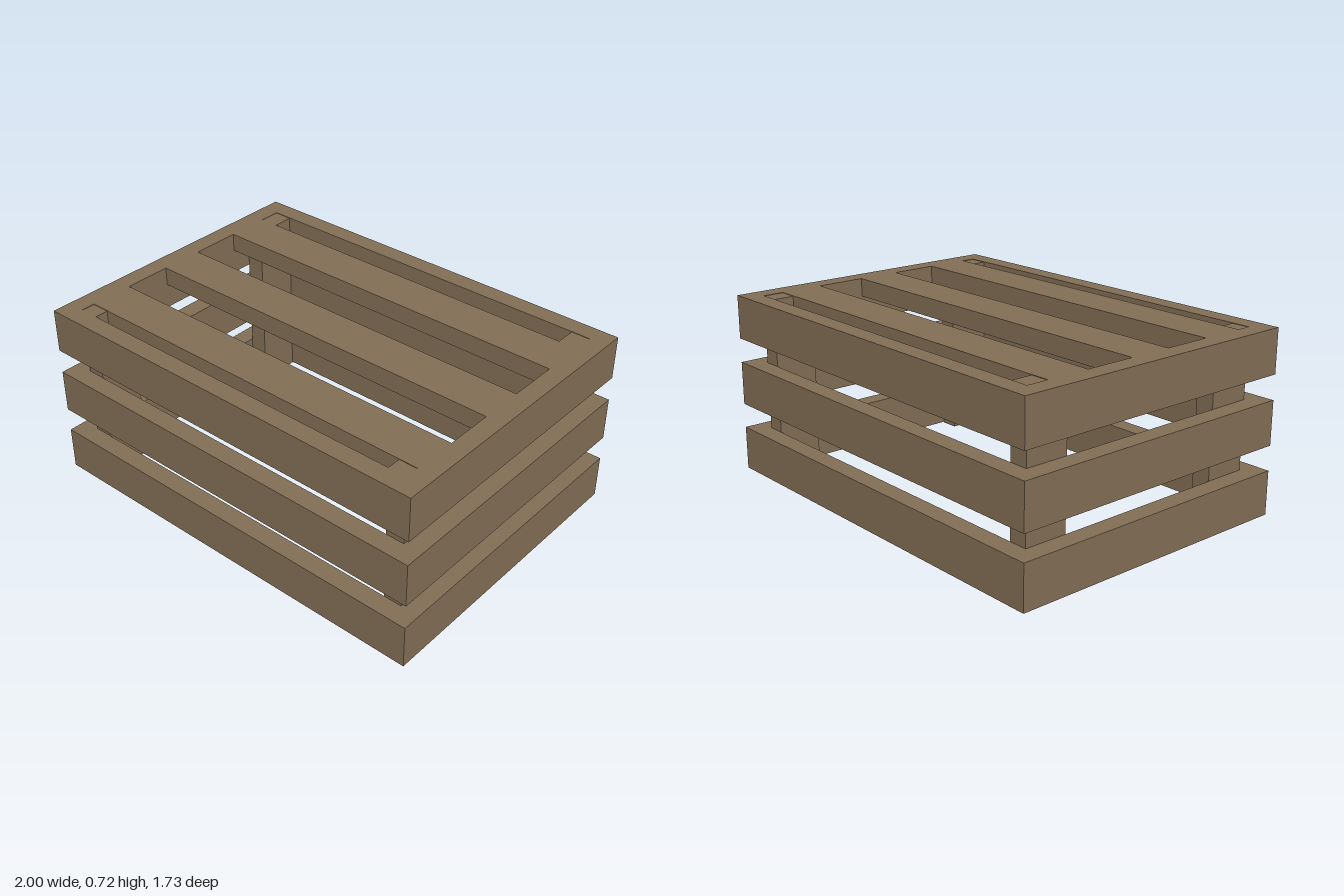
import * as THREE from 'three';

export function createModel() {
  const model = new THREE.Group();
  model.name = 'woodenCrate';

  // The crate stands turned about the vertical axis
  const crate = new THREE.Group();
  crate.name = 'crate';
  crate.rotation.y = -THREE.MathUtils.degToRad(21.4);
  model.add(crate);

  const wood = new THREE.MeshStandardMaterial({ color: 0x806d54, flatShading: true });

  const HALF_L = 0.837, HALF_W = 0.602; // outer half length and half width
  const T = 0.074;                      // plank thickness
  const PLANK = 0.174;                  // plank width
  const HEIGHT = 0.72;
  const IN_L = HALF_L - T, IN_W = HALF_W - T;

  function plank(name, w, h, d, x, y, z) {
    const mesh = new THREE.Mesh(new THREE.BoxGeometry(w, h, d), wood);
    mesh.name = name;
    mesh.position.set(x, y, z);
    crate.add(mesh);
  }

  // Three rows of wall planks; the long sides cover the ends of the short ones
  for (const y of [0.09, 0.362, HEIGHT - PLANK / 2]) {
    for (const s of [-1, 1]) {
      plank('sidePlank', HALF_L * 2, PLANK, T, 0, y, s * (HALF_W - T / 2));
      plank('endPlank', T, PLANK, IN_W * 2, s * (HALF_L - T / 2), y, 0);
    }
  }

  // Upright posts inside the four corners
  for (const sx of [-1, 1]) {
    for (const sz of [-1, 1]) {
      plank('cornerPost', T, HEIGHT - 0.002, PLANK,
        sx * (IN_L - T / 2), HEIGHT / 2 - 0.001, sz * (IN_W - PLANK / 2));
    }
  }

  // Slats across the top, between the end planks; the underside is open
  for (const z of [-0.355, 0.02, 0.385]) {
    plank('topSlat', IN_L * 2, T, PLANK, 0, HEIGHT - T / 2, z);
  }

  return model;
}
